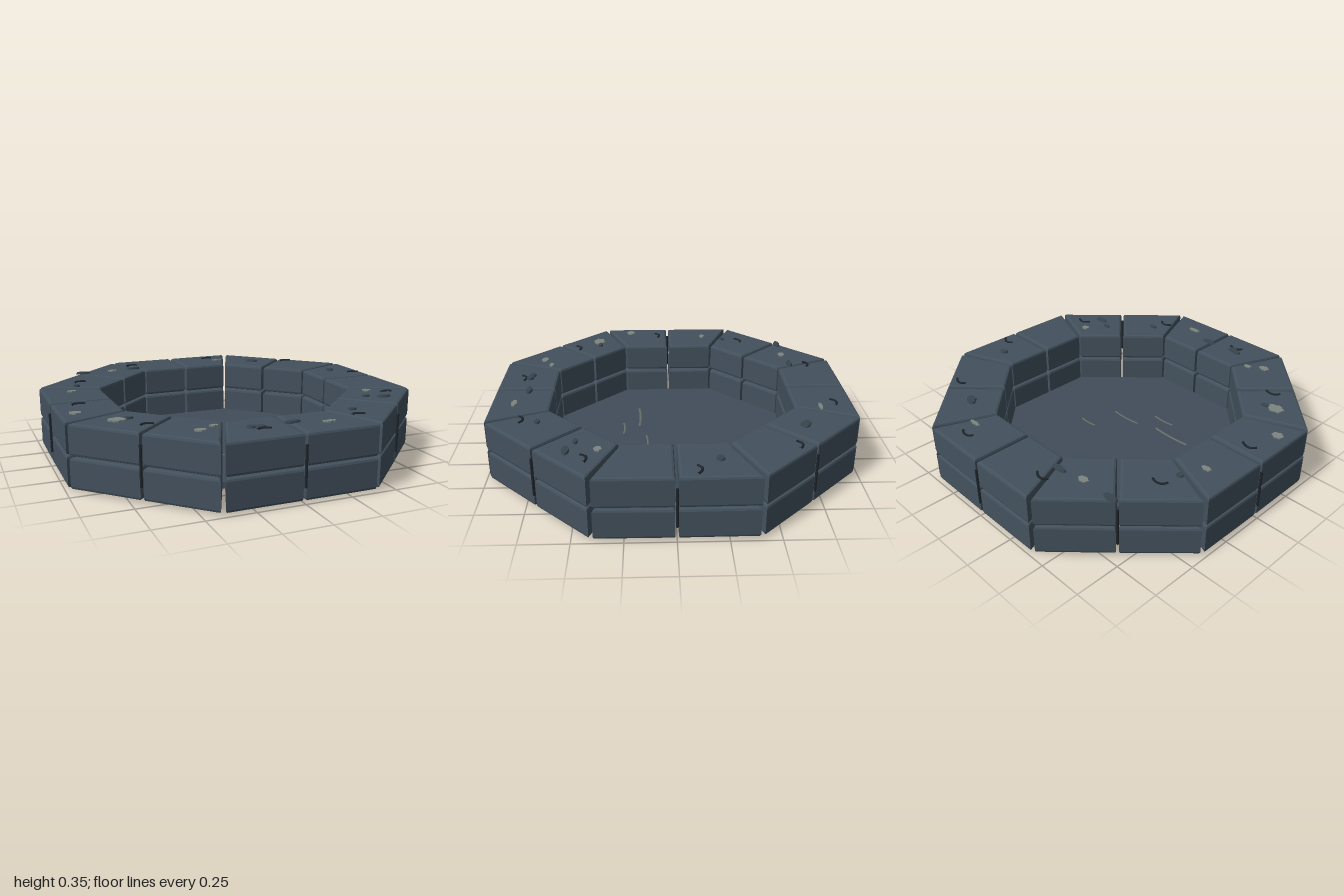
import * as THREE from 'three';

const mat = (name, color) => {
  const m = new THREE.MeshStandardMaterial({ color });
  m.name = name;
  return m;
};

export function createModel() {
  const root = new THREE.Group();
  root.name = 'stoneRing';
  const stone = mat('slate stone', 0x43515d);
  const floorStone = mat('floor slate', 0x414c59);
  const dark = mat('dark crack', 0x1f262c);
  const chip = mat('worn stone', 0x38444e);
  const lichen = mat('pale lichen', 0x7d8580);
  const streak = mat('floor streak', 0x666c6a);

  const add = (parent, name, geo, material, x = 0, y = 0, z = 0) => {
    const mesh = new THREE.Mesh(geo, material);
    mesh.name = name;
    mesh.position.set(x, y, z);
    parent.add(mesh);
    return mesh;
  };

  // Wedge block with rounded edges: one half of an octagon side
  const bevel = 0.014;
  const blockGeo = (side, height) => {
    const corners = [[0.008, 0.66], [0.265, 0.66], [0.398, 0.987], [0.008, 0.987]];
    const cx = 0.2, cy = 0.82;
    const pts = corners.map(([x, y]) => new THREE.Vector2(
      side * (x + Math.sign(cx - x) * bevel), y + Math.sign(cy - y) * bevel));
    // keep the slanted edge parallel to the corner joint
    pts[1].x = side * 0.258;
    pts[2].x = side * 0.379;
    if (side < 0) pts.reverse();
    const geo = new THREE.ExtrudeGeometry(new THREE.Shape(pts), {
      depth: height - 2 * bevel, bevelEnabled: true,
      bevelSize: bevel, bevelThickness: bevel, bevelSegments: 2,
    });
    geo.translate(0, 0, bevel);
    geo.rotateX(-Math.PI / 2);
    return geo;
  };

  // Two courses of sixteen blocks
  const halves = [blockGeo(1, 0.163), blockGeo(-1, 0.163)];
  for (const [course, y] of [['lower', 0.01], ['upper', 0.18]]) {
    const ring = new THREE.Group();
    ring.name = course + 'Course';
    root.add(ring);
    for (let i = 0; i < 8; i++) {
      for (const geo of halves) {
        add(ring, course + 'Block', geo, stone, 0, y, 0).rotation.y = i * Math.PI / 4;
      }
    }
  }

  // Octagonal floor slab
  const floorGeo = new THREE.CylinderGeometry(0.72, 0.72, 0.035, 8);
  floorGeo.rotateY(Math.PI / 8);
  add(root, 'floor', floorGeo.toNonIndexed(), floorStone, 0, 0.0175, 0);

  // Dark upright seams on the outer joints
  const seamGeo = new THREE.CylinderGeometry(0.007, 0.007, 0.21, 6);
  for (let i = 0; i < 8; i++) {
    const a = i * Math.PI / 4;
    add(root, 'jointSeam', seamGeo, dark, 0.992 * Math.sin(a), 0.185, 0.992 * Math.cos(a));
  }

  // Small curved cracks on top: x, z, turn
  const crackGeo = new THREE.TubeGeometry(new THREE.CatmullRomCurve3([
    new THREE.Vector3(-0.04, 0, 0.012), new THREE.Vector3(-0.018, 0, -0.01),
    new THREE.Vector3(0.012, 0, -0.01), new THREE.Vector3(0.04, 0, 0.008),
  ]), 10, 0.007, 5);
  for (const [x, z, turn] of [
    [-0.32, -0.835, 0], [0.225, -0.885, 0.1], [0.7, -0.61, 0], [-0.74, -0.465, 0.3],
    [0.92, -0.105, -0.1], [-0.855, 0.068, 0.1], [0.8, 0.435, 0.2], [-0.635, 0.575, 0.2],
    [-0.155, 0.855, 0.1], [0.39, 0.795, 0],
  ]) add(root, 'crack', crackGeo, dark, x, 0.345, z).rotation.y = turn;

  // Flat worn chips on top: x, z, half length, half width
  const discGeo = new THREE.CylinderGeometry(0.85, 1, 0.012, 14);
  for (const [x, z, a, b] of [
    [-0.665, -0.71, 0.045, 0.02], [-0.335, -0.735, 0.045, 0.018], [0.47, -0.69, 0.028, 0.02],
    [0.49, -0.675, 0.032, 0.026], [0.82, -0.21, 0.027, 0.022], [-0.775, -0.36, 0.02, 0.016],
    [0.725, 0.53, 0.045, 0.02], [0.635, 0.49, 0.026, 0.014], [-0.195, 0.81, 0.026, 0.02],
    [-0.155, 0.822, 0.03, 0.022], [0.02, 0.803, 0.048, 0.018], [0.415, 0.705, 0.026, 0.016],
    [-0.685, 0.44, 0.027, 0.015],
  ]) add(root, 'wornChip', discGeo, chip, x, 0.347, z).scale.set(a, 1, b);

  // Ragged lichen patches: x, z, half length, half width
  const patch = new THREE.Shape(Array.from({ length: 16 }, (_, i) => {
    const a = i * Math.PI / 8, r = 0.88 + 0.12 * Math.sin(i * 2.3);
    return new THREE.Vector2(r * Math.cos(a), r * Math.sin(a));
  }));
  const patchGeo = new THREE.ExtrudeGeometry(patch, { depth: 0.008, bevelEnabled: false });
  patchGeo.rotateX(-Math.PI / 2);
  for (const [x, z, a, b] of [
    [-0.48, -0.71, 0.032, 0.022], [-0.83, -0.23, 0.03, 0.017], [-0.905, 0.245, 0.035, 0.028],
    [-0.745, 0.45, 0.052, 0.038], [-0.435, 0.768, 0.034, 0.023], [-0.35, 0.72, 0.026, 0.015],
    [0.19, 0.86, 0.042, 0.017], [0.715, 0.375, 0.026, 0.022], [0.275, -0.8, 0.04, 0.012],
  ]) add(root, 'lichenPatch', patchGeo, lichen, x, 0.342, z).scale.set(a, 1, b);

  // Long thin streaks on the floor: x, z, length, width
  for (const [x, z, len, r] of [
    [-0.235, 0.182, 0.24, 0.009], [0.095, 0.138, 0.19, 0.007],
    [-0.09, 0.275, 0.14, 0.007], [0.22, -0.058, 0.11, 0.007],
  ]) {
    const h = len / 2;
    const path = new THREE.QuadraticBezierCurve3(
      new THREE.Vector3(-h, 0, 0.006), new THREE.Vector3(0, 0, -0.01), new THREE.Vector3(h, 0, 0.004));
    add(root, 'floorStreak', new THREE.TubeGeometry(path, 10, r, 6), streak, x, 0.036, z).scale.y = 0.6;
  }
  return root;
}
